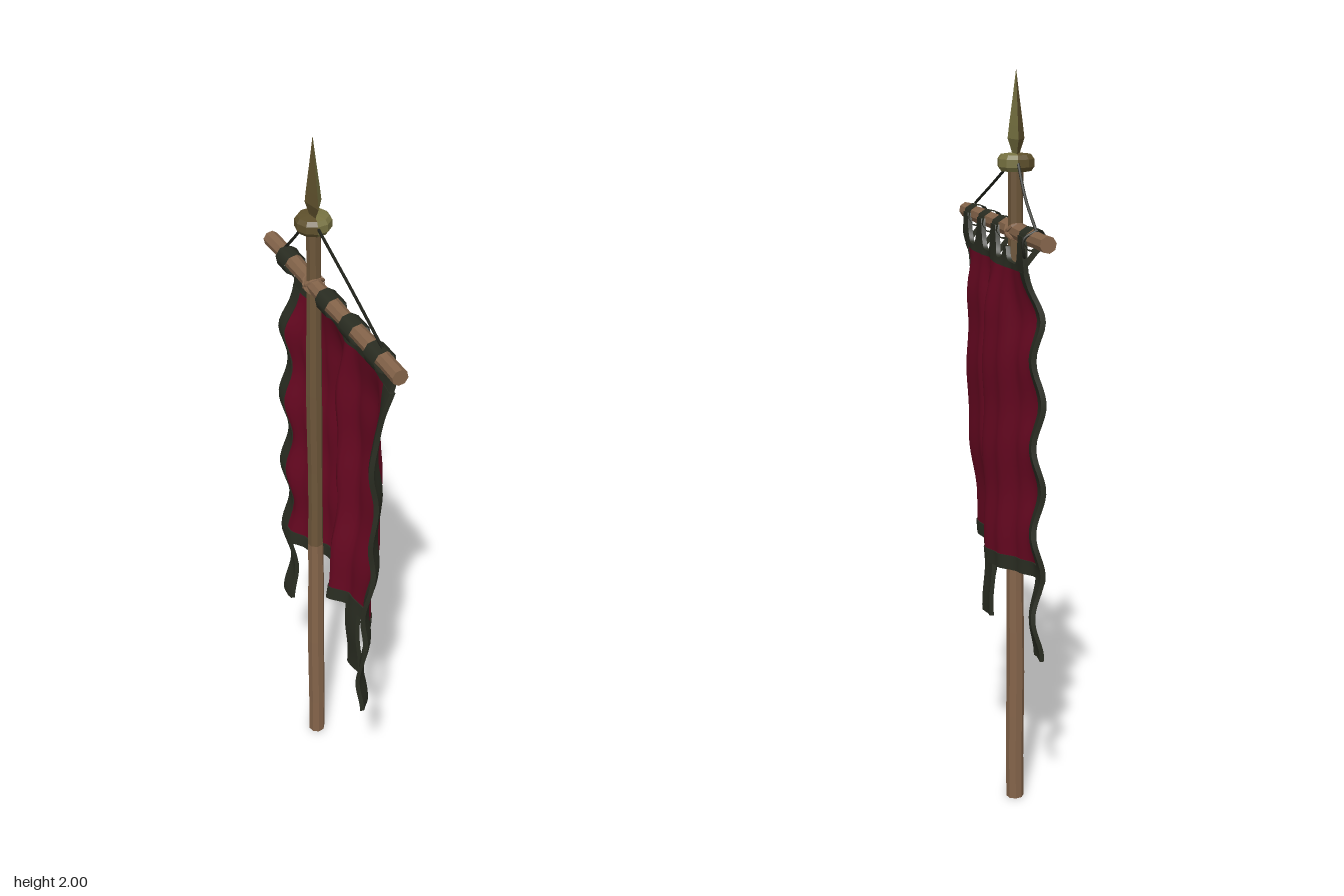
import * as THREE from 'three';

const mat = (name, color, opts = {}) => Object.assign(new THREE.MeshStandardMaterial({ color, ...opts }), { name });
const smooth = THREE.MathUtils.smoothstep;
const lerp = THREE.MathUtils.lerp;

const POLE_X = -0.015, POLE_Z = -0.108, BAR_Y = 1.592;
const barX = z => 0.003 + 0.18 * z;                       // the crossbar is slightly turned
const barDir = new THREE.Vector3(0.18, 0, 1).normalize();
const barTurn = new THREE.Quaternion().setFromUnitVectors(new THREE.Vector3(0, 1, 0), barDir);

// Folds of the hanging cloth: [z, x]
const folds = [[-0.3, -0.058], [-0.22, -0.055], [-0.17, -0.02], [-0.12, 0.03], [-0.055, 0.063],
  [0.01, 0.045], [0.05, 0.01], [0.1, 0.06], [0.19, 0.083], [0.25, 0.06], [0.32, 0.03]];
function foldX(z) {
  let i = 0;
  while (i < folds.length - 2 && z > folds[i + 1][0]) i++;
  const [z0, x0] = folds[i], [z1, x1] = folds[i + 1];
  return lerp(x0, x1, smooth(z, z0, z1));
}
function clothX(z, y) {
  const drop = 1 - smooth(y, 1.36, 1.56);
  const slant = 0.014 * Math.sin(5 * y + 1) * drop;
  const edge = smooth(Math.abs(z - 0.02), 0.17, 0.27) * (z > 0 ? 0.45 : 0.9);
  const ripple = (0.003 + 0.011 * edge) * Math.sin(y * 27 + z * 6) * drop;
  const tuck = 0.034 * (1 - smooth(y, 0.65, 1.1)) * smooth(z, -0.08, 0.05);
  return lerp(barX(z) + 0.026, foldX(z + slant), drop) + ripple - tuck;
}

// A piece of cloth between z0..z1 and y0..top(z), laid on the folded surface
function clothPiece(name, material, z0, z1, y0, top, nz, ny, thickness) {
  const g = new THREE.BoxGeometry(1, 1, thickness, nz, ny, 1), p = g.attributes.position;
  for (let i = 0; i < p.count; i++) {
    const z = lerp(z1, z0, p.getX(i) + 0.5);
    const yTop = typeof top === 'function' ? top(z) : top;
    const y = lerp(y0, yTop, p.getY(i) + 0.5);
    const sway = 0.003 * Math.sin(y * 31) * smooth(Math.abs(z - 0.02), 0.2, 0.24);
    p.setXYZ(i, clothX(z, y) + p.getZ(i), y, z + sway);
  }
  g.computeVertexNormals();
  const m = new THREE.Mesh(g, material);
  m.name = name;
  return m;
}

// Round wood with a slightly uneven, knotted outline
function stick(name, material, length, r0, r1, knots, bend) {
  const g = new THREE.CylinderGeometry(1, 1, length, 8, knots), p = g.attributes.position;
  for (let i = 0; i < p.count; i++) {
    const y = p.getY(i), t = y / length + 0.5;
    const r = lerp(r0, r1, t) * (1 + 0.06 * Math.sin(t * 41));
    p.setXYZ(i, p.getX(i) * r + bend * Math.sin(t * 9), y, p.getZ(i) * r);
  }
  g.computeVertexNormals();
  const m = new THREE.Mesh(g, material);
  m.name = name;
  return m;
}

export function createModel() {
  const wood = mat('wood', 0x84644a, { flatShading: true });
  const agedWood = mat('aged wood', 0x6c5539, { flatShading: true });
  const brass = mat('brass', 0x787342, { flatShading: true });
  const darkBrass = mat('tarnished brass', 0x5e502c, { flatShading: true });
  const red = mat('red cloth', 0x650720);
  const trim = mat('dark trim', 0x2a2d22, { side: THREE.DoubleSide });
  const cord = mat('cord', 0x20221a);
  const model = new THREE.Group();
  model.name = 'banner';
  const add = (geometry, material, name, x = 0, y = 0, z = 0) => {
    const m = new THREE.Mesh(geometry, material);
    m.name = name;
    m.position.set(x, y, z);
    model.add(m);
    return m;
  };

  // Pole, with its cleaner lower end, and crossbar
  const lowerPole = stick('lowerPole', wood, 0.74, 0.024, 0.0225, 6, 0.001);
  lowerPole.position.set(POLE_X, 0.37, POLE_Z);
  const upperPole = stick('upperPole', agedWood, 1.03, 0.0225, 0.02, 8, 0.001);
  upperPole.position.set(POLE_X, 1.255, POLE_Z);
  const bar = stick('crossbar', wood, 0.755, 0.022, 0.022, 10, 0.002);
  bar.position.set(barX(0), BAR_Y, 0);
  bar.quaternion.copy(barTurn);
  model.add(lowerPole, upperPole, bar);

  // Collar and spear point, each with a bright and a tarnished half
  const profile = points => points.map(([x, y]) => new THREE.Vector2(x, y));
  const collar = profile([[0.02, -0.021], [0.04, -0.021], [0.048, -0.01], [0.048, 0.01], [0.04, 0.021], [0.001, 0.026]]);
  const blade = profile([[0.022, 0], [0.03, 0.012], [0.054, 0.042], [0.045, 0.075], [0.022, 0.145], [0.001, 0.213]]);
  [brass, darkBrass].forEach((metal, i) => {
    add(new THREE.LatheGeometry(collar, 5, i * Math.PI, Math.PI), metal, 'collar', POLE_X, 1.768, POLE_Z);
    const half = add(new THREE.LatheGeometry(blade, 2, i * Math.PI, Math.PI), metal, 'spearPoint', POLE_X, 1.787, POLE_Z);
    half.scale.x = 0.4;
  });

  // Lashing where the pole meets the crossbar
  for (const s of [-1, 1]) {
    const lash = add(new THREE.TorusGeometry(0.027, 0.005, 5, 12), wood, 'lashing', POLE_X, BAR_Y, POLE_Z);
    lash.rotation.set(s * 0.75, 0.18, 0);
  }

  // Cloth panel with its border; the top edge rises in round arches to the loops
  const tabs = [-0.246, -0.005, 0.128, 0.265];
  const arch = (d, inner, width) => {
    const u = 1 - THREE.MathUtils.clamp((d - inner) / width, 0, 1);
    return 1 - Math.sqrt(1 - u * u);
  };
  const scallop = z => {
    const d = Math.min(...tabs.map(t => Math.abs(z - t)));
    return 1.52 + 0.035 * arch(Math.abs(z + 0.112), 0.012, 0.03) + 0.078 * arch(d, 0.022, 0.032);
  };
  model.add(
    clothPiece('clothPanel', red, -0.228, 0.258, 0.718, 1.507, 48, 40, 0.008),
    clothPiece('topBorder', trim, -0.266, 0.3, 1.503, scallop, 110, 4, 0.012),
    clothPiece('bottomBorder', trim, -0.228, 0.258, 0.68, 0.72, 48, 2, 0.014),
    clothPiece('leftBorder', trim, 0.256, 0.306, 0.68, 1.505, 4, 40, 0.014),
    clothPiece('rightBorder', trim, -0.266, -0.226, 0.68, 1.505, 4, 40, 0.014));

  // Hanging streamers
  for (const z of [-0.235, 0.131, 0.282])
    model.add(clothPiece('streamer', trim, z - 0.027, z + 0.027, 0.46, 0.682, 4, 14, 0.012));

  // Loops holding the cloth on the crossbar
  for (const z of tabs) {
    const loop = add(new THREE.CylinderGeometry(0.031, 0.031, 0.058, 8, 1, true), trim, 'loop', barX(z), BAR_Y - 0.003, z);
    loop.quaternion.copy(barTurn);
    // Back flap of the loop
    const flap = add(new THREE.PlaneGeometry(0.045, 0.075), trim, 'loopFlap', barX(z) - 0.006, 1.555, z);
    flap.rotation.y = Math.PI / 2 + 0.18;
    flap.rotateX(-0.7);
  }

  // Cords from the collar to the crossbar
  for (const [z, y] of [[0.28, 1.622], [-0.28, 1.61]]) {
    const a = new THREE.Vector3(POLE_X, 1.775, POLE_Z + Math.sign(z) * 0.04);
    const b = new THREE.Vector3(barX(z), y, z);
    const mid = a.clone().lerp(b, 0.5).add(new THREE.Vector3(0.004, -0.006, 0));
    add(new THREE.TubeGeometry(new THREE.CatmullRomCurve3([a, mid, b]), 12, 0.004, 5), cord, 'cord');
  }
  // Loose end of the cord, hanging over the crossbar
  const tail = [[0, 1.615, -0.28], [0.033, 1.595, -0.284], [0.033, 1.555, -0.284], [0.025, 1.545, -0.262]];
  add(new THREE.TubeGeometry(new THREE.CatmullRomCurve3(
    tail.map(([x, y, z]) => new THREE.Vector3(barX(z) + x, y, z))), 12, 0.004, 5), cord, 'cordTail');

  return model;
}
